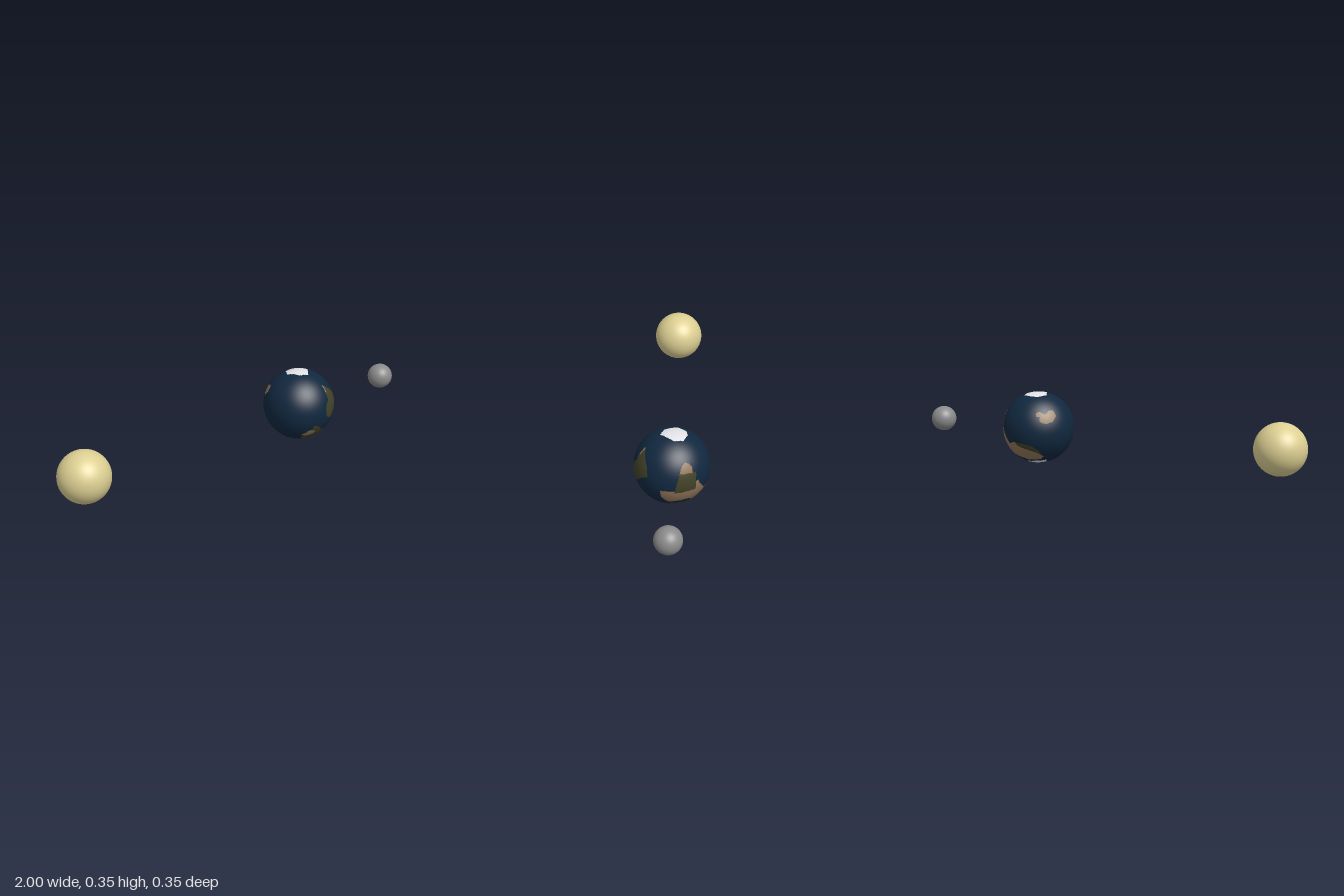
import * as THREE from 'three';

const mat = (name, color) => {
  const m = new THREE.MeshStandardMaterial({ color });
  m.name = name;
  return m;
};

// Land outlines as [longitude, latitude] in degrees; longitude 0 faces +z, 90 faces +x
const OLIVE = [
  [[20, 45], [27, 42], [40, 31], [48, 23], [53, 8], [40, 1], [24, -12], [14, -10], [9, -2], [9, 11], [18, 20], [19, 32]],
  [[103, 19], [131, 17], [129, 2], [129, -12], [112, -12], [95, -13], [98, 0]],
  [[87, -40], [100, -42], [121, -40], [133, -43], [146, -50], [152, -66], [96, -68], [87, -50]],
  [[165, -17], [185, -19], [196, -22], [210, -31], [218, -43], [207, -36], [190, -30], [172, -24]],
  [[-13, -18], [-4, -21], [4, -30], [14, -31], [22, -42], [32, -59], [0, -62], [-32, -60], [-36, -45], [-33, -38], [-18, -34], [-16, -24]],
];
const TAN = [
  [[108, 30], [115, 35], [121, 32], [126, 26], [125, 17], [103, 19]],
  [[74, -9], [95, -9], [129, -11], [129, 2], [133, 3], [138, -6], [152, -22], [165, -17], [190, -26], [207, -34],
    [221, -44], [216, -54], [180, -56], [160, -50], [133, -43], [122, -32], [100, -34], [84, -36], [74, -24]],
  [[206, 32], [212, 34], [222, 29], [232, 36], [240, 36], [243, 26], [234, 17], [222, 14], [212, 18], [213, 25], [206, 26]],
];
// Small dry patches lying over the olive land
const DRY = [
  [[19, 30], [20, 45], [24, 43], [22, 33]],
  [[-36, -38], [-20, -26], [-8, -30], [-10, -38], [-25, -42]],
];
// Ice outlines as [x, z] on the unit disc, looking along the axis
const NORTH_ICE = [
  [[-.34, -.12], [-.2, -.37], [.03, -.4], [.28, -.3], [.34, -.06], [.21, .12], [.06, .3], [-.18, .2], [-.25, .03]],
];
const SOUTH_ICE = [
  [[.15, -.43], [-.15, -.47], [-.44, -.35], [-.34, -.16], [-.12, -.24], [.08, -.2]],
  [[-.22, .3], [0, .42], [.24, .37], [.28, .2], [.1, .12], [-.1, .15]],
];

function inside(poly, x, y) {
  let hit = false;
  for (let i = 0, j = poly.length - 1; i < poly.length; j = i++) {
    const [xi, yi] = poly[i], [xj, yj] = poly[j];
    if ((yi > y) !== (yj > y) && x < (xj - xi) * (y - yi) / (yj - yi) + xi) hit = !hit;
  }
  return hit;
}

// Material slot for a unit direction: 0 ocean, 1 olive, 2 tan, 3 ice
function terrain(p) {
  const any = (list, a, b) => list.some(poly => inside(poly, a, b));
  const lat = THREE.MathUtils.radToDeg(Math.asin(p.y));
  let lon = THREE.MathUtils.radToDeg(Math.atan2(p.x, p.z));
  if (lon < -90) lon += 360;
  if (any(p.y > 0 ? NORTH_ICE : SOUTH_ICE, p.x, p.z)) return 3;
  if (any(DRY, lon, lat)) return 2;
  if (any(OLIVE, lon, lat)) return 1;
  return any(TAN, lon, lat) ? 2 : 0;
}

// Sphere whose faces are sorted into one group per terrain
function planetGeometry(radius) {
  const geo = new THREE.SphereGeometry(radius, 256, 128);
  const pos = geo.attributes.position, idx = geo.index.array;
  const slots = [[], [], [], []];
  const c = new THREE.Vector3(), v = new THREE.Vector3();
  for (let i = 0; i < idx.length; i += 3) {
    c.set(0, 0, 0);
    for (let k = 0; k < 3; k++) c.add(v.fromBufferAttribute(pos, idx[i + k]));
    slots[terrain(c.normalize())].push(idx[i], idx[i + 1], idx[i + 2]);
  }
  geo.setIndex(slots.flat());
  let start = 0;
  slots.forEach((s, m) => {
    geo.addGroup(start, s.length, m);
    start += s.length;
  });
  return geo;
}

export function createModel() {
  const group = new THREE.Group();
  const add = (name, geo, material, x) => {
    const mesh = new THREE.Mesh(geo, material);
    mesh.name = name;
    mesh.position.set(x, 0.175, 0);
    group.add(mesh);
  };

  add('sun', new THREE.SphereGeometry(0.122, 64, 40), mat('pale yellow', 0xdccf92), -0.878);
  add('planet', planetGeometry(0.175), [
    mat('ocean blue', 0x11283f),
    mat('olive land', 0x424229),
    mat('tan land', 0x917558),
    mat('ice white', 0xe8e8ec),
  ], 0.375);
  add('moon', new THREE.SphereGeometry(0.0625, 64, 40), mat('moon grey', 0x8a8a8a), 0.9375);

  return group;
}
